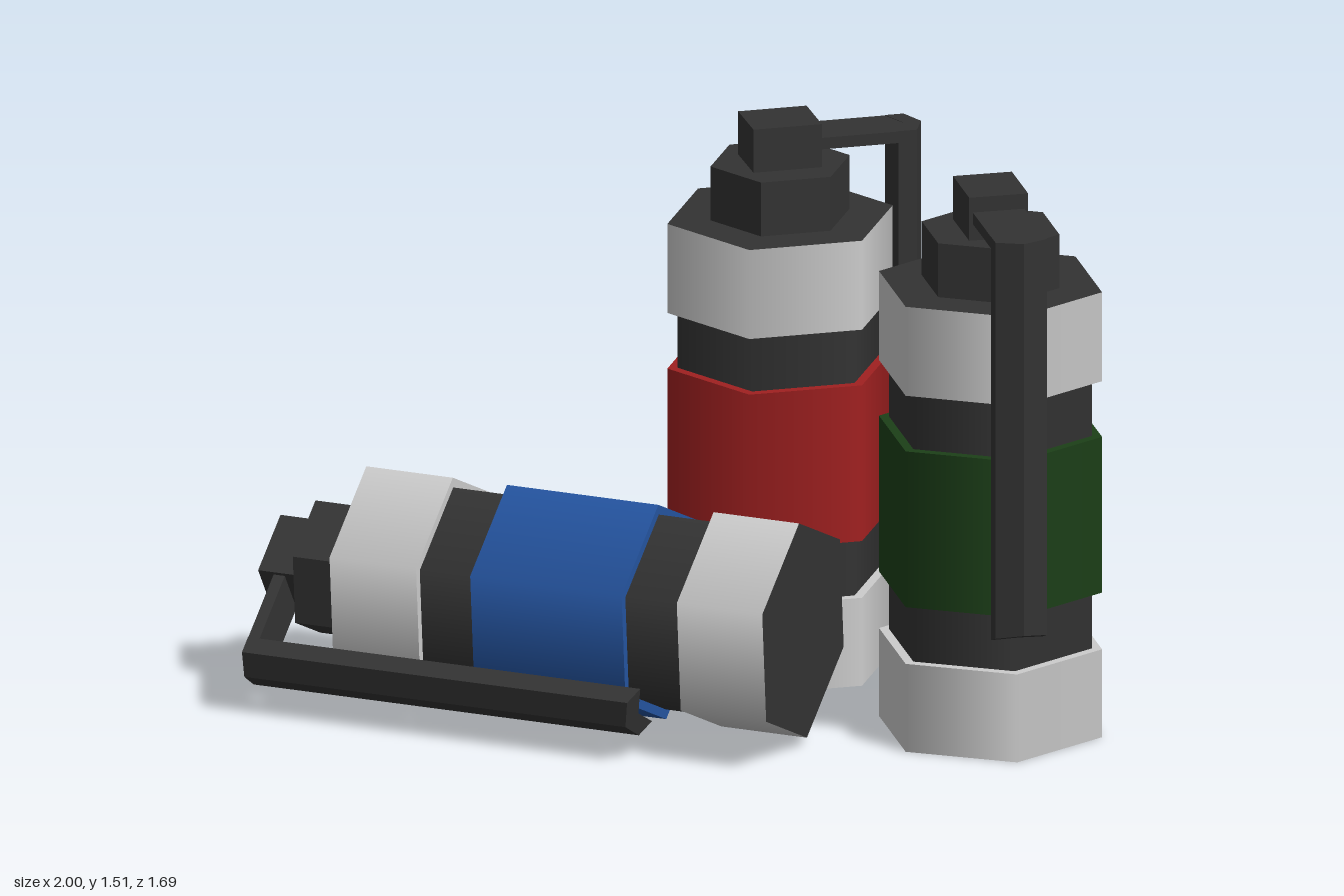
import * as THREE from 'three';

const mat = (color, flatShading = false) => new THREE.MeshStandardMaterial({ color, flatShading });
const dark = mat(0x333333);
const darkFlat = mat(0x333333, true);
const grey = mat(0xcccccc);

function addMesh(group, name, geometry, material) {
  const mesh = new THREE.Mesh(geometry, material);
  mesh.name = name;
  group.add(mesh);
  return mesh;
}

// Six-sided prism from y0 to y1 with one corner on +x
function hexPrism(group, name, radius, y0, y1, material) {
  const geometry = new THREE.CylinderGeometry(radius, radius, y1 - y0, 6, 1, false, Math.PI / 2);
  geometry.translate(0, (y0 + y1) / 2, 0);
  return addMesh(group, name, geometry, material);
}

// Upright canister standing on y = 0, lever on the +x side
function createCanister(name, color) {
  const group = new THREE.Group();
  group.name = name;
  const band = mat(color);

  // Body
  hexPrism(group, 'core', 0.28, 0.02, 1.22, dark);
  hexPrism(group, 'bottomBand', 0.308, 0, 0.245, [grey, grey, dark]);
  hexPrism(group, 'colourBand', 0.308, 0.403, 0.837, band);
  hexPrism(group, 'topBand', 0.308, 0.992, 1.24, [grey, dark, grey]);

  // Cap
  hexPrism(group, 'neck', 0.19, 1.235, 1.39, darkFlat);
  const head = addMesh(group, 'head', new THREE.BoxGeometry(0.187, 0.125, 0.16), darkFlat);
  head.position.y = 1.4475;

  // Lever arm running out from the head
  const arm = addMesh(group, 'leverArm', new THREE.BoxGeometry(0.345, 0.032, 0.14), darkFlat);
  arm.position.set(0.1725, 1.452, 0);

  // Folded lever plate, its lower end cut at a slant
  const top = 1.469, bottom = 0.345;
  const section = new THREE.Shape([
    [0.305, -0.07], [0.356, -0.07], [0.385, 0], [0.356, 0.07], [0.305, 0.07], [0.335, 0],
  ].map(([x, y]) => new THREE.Vector2(x, y)));
  const plate = new THREE.ExtrudeGeometry(section, { depth: top - bottom, bevelEnabled: false });
  plate.rotateX(-Math.PI / 2);
  plate.translate(0, bottom, 0);
  const p = plate.attributes.position;
  for (let i = 0; i < p.count; i++) {
    if (p.getY(i) < 0.5) p.setY(i, bottom + (p.getX(i) - 0.305) * 0.4);
  }
  plate.computeVertexNormals();
  addMesh(group, 'lever', plate, darkFlat);
  return group;
}

export function createModel() {
  const model = new THREE.Group();
  model.name = 'canisterSet';
  const deg = THREE.MathUtils.degToRad;

  // Two standing canisters
  const red = createCanister('redCanister', 0xa02020);
  red.position.set(-0.13, 0, -0.502);
  red.rotation.y = deg(60);
  const green = createCanister('greenCanister', 0x1c4018);
  green.position.set(0.66, 0, -0.503);
  green.rotation.y = deg(-31.5);

  // Canister lying on its side, lever low at the front
  const blue = createCanister('blueCanister', 0x2454a0);
  const tilt = deg(22.6), roll = deg(-35);
  const axis = new THREE.Vector3(-Math.cos(tilt), 0, Math.sin(tilt));
  const leverDir = new THREE.Vector3(Math.sin(tilt), 0, Math.cos(tilt)).multiplyScalar(Math.cos(roll));
  leverDir.y = Math.sin(roll);
  const side = new THREE.Vector3().crossVectors(leverDir, axis);
  blue.quaternion.setFromRotationMatrix(new THREE.Matrix4().makeBasis(leverDir, axis, side));
  blue.position.set(0.438, 0.327, -0.025);

  model.add(red, green, blue);
  return model;
}
